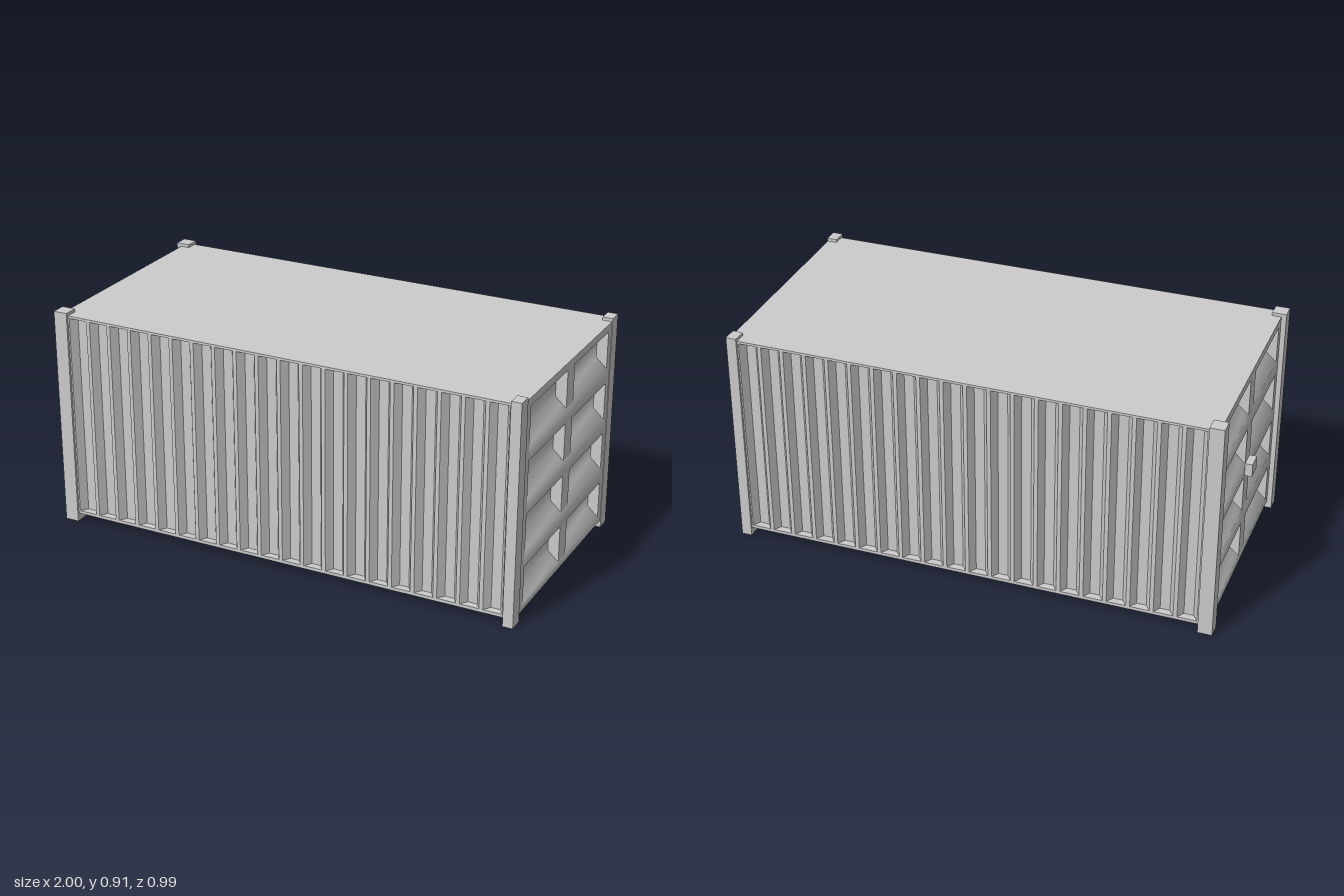
import * as THREE from 'three';
import { toCreasedNormals } from 'three/addons/utils/BufferGeometryUtils.js';

const material = new THREE.MeshStandardMaterial({ color: 0xcccccc });

// Body extents
const X0 = -0.97, X1 = 0.994, Z = 0.485;
const FLOOR = 0.045, CEILING = 0.89;

function add(parent, name, geometry) {
  const mesh = new THREE.Mesh(geometry, material);
  mesh.name = name;
  parent.add(mesh);
  return mesh;
}

// Box given by its minimum and maximum on each axis
function box(parent, name, x0, x1, y0, y1, z0, z1) {
  const mesh = add(parent, name, new THREE.BoxGeometry(x1 - x0, y1 - y0, z1 - z0));
  mesh.position.set((x0 + x1) / 2, (y0 + y1) / 2, (z0 + z1) / 2);
  return mesh;
}

function extrude(points, depth, crease) {
  const shape = new THREE.Shape(points.map(([x, y]) => new THREE.Vector2(x, y)));
  return toCreasedNormals(new THREE.ExtrudeGeometry(shape, { depth, bevelEnabled: false }), crease);
}

// Both long walls: a plan outline with vertical corrugations, extruded upwards
function corrugatedWalls() {
  const period = 0.0945, inner = Z - 0.03;
  const half = [[-0.91, 0.41], [-0.935, 0.41], [-0.935, Z]];
  for (let i = 0; i < 20; i++) {
    const x = -0.926 + i * period;
    half.push([x, Z], [x + 0.021, inner], [x + 0.06, inner], [x + 0.079, Z]);
  }
  half.push([0.96, Z], [0.96, 0.41], [0.92, 0.41]);
  const mirrored = half.map(([x, z]) => [x, -z]).reverse();
  const geometry = extrude([...half, ...mirrored], CEILING - FLOOR, 0.5);
  return geometry.rotateX(-Math.PI / 2).translate(0, FLOOR, 0);
}

// End wall with its outer face at x = 0, facing +x
function endWall(name) {
  const group = new THREE.Group();
  group.name = name;
  const depth = 0.045, slope = 0.041, height = 0.154;
  const profile = [[-0.06, FLOOR], [0, FLOOR]];
  for (let i = 0; i < 4; i++) {
    const y = 0.062 + i * 0.2175;
    profile.push([0, y], [-depth, y + slope], [-depth, y + height - slope], [0, y + height]);
  }
  profile.push([0, CEILING], [-0.06, CEILING]);
  add(group, 'recessedPanel', extrude(profile, 0.82, 1.0).translate(0, 0, -0.41));

  // Uprights closing the ends of the recesses
  for (const [z0, z1] of [[-0.45, -0.4], [-0.036, 0.036], [0.4, 0.45]]) {
    box(group, 'upright', -0.05, 0, FLOOR, CEILING, z0, z1);
  }
  return group;
}

export function createModel() {
  const model = new THREE.Group();
  model.name = 'cargoContainer';

  add(model, 'corrugatedSideWalls', corrugatedWalls());
  box(model, 'roof', X0, X1, CEILING, 0.9, -Z, Z);
  box(model, 'floor', X0, X1, 0.032, FLOOR, -Z, Z);

  // End walls
  const leftEnd = endWall('leftEndWall');
  leftEnd.position.x = X1;
  const rightEnd = endWall('rightEndWall');
  rightEnd.position.x = X0;
  rightEnd.rotation.y = Math.PI;
  model.add(leftEnd, rightEnd);

  // Corner posts, wider at the door end
  for (const [x0, x1] of [[-0.99, -0.932], [0.954, 0.996]]) {
    for (const side of [-1, 1]) {
      const post = box(model, 'cornerPost', x0, x1, 0, 0.913, 0.435, 0.495);
      post.position.z *= side;
    }
  }

  // Lock box on the door end
  box(model, 'lockBox', -1, X0 + 0.01, 0.44, 0.495, -0.034, 0.034);

  return model;
}
